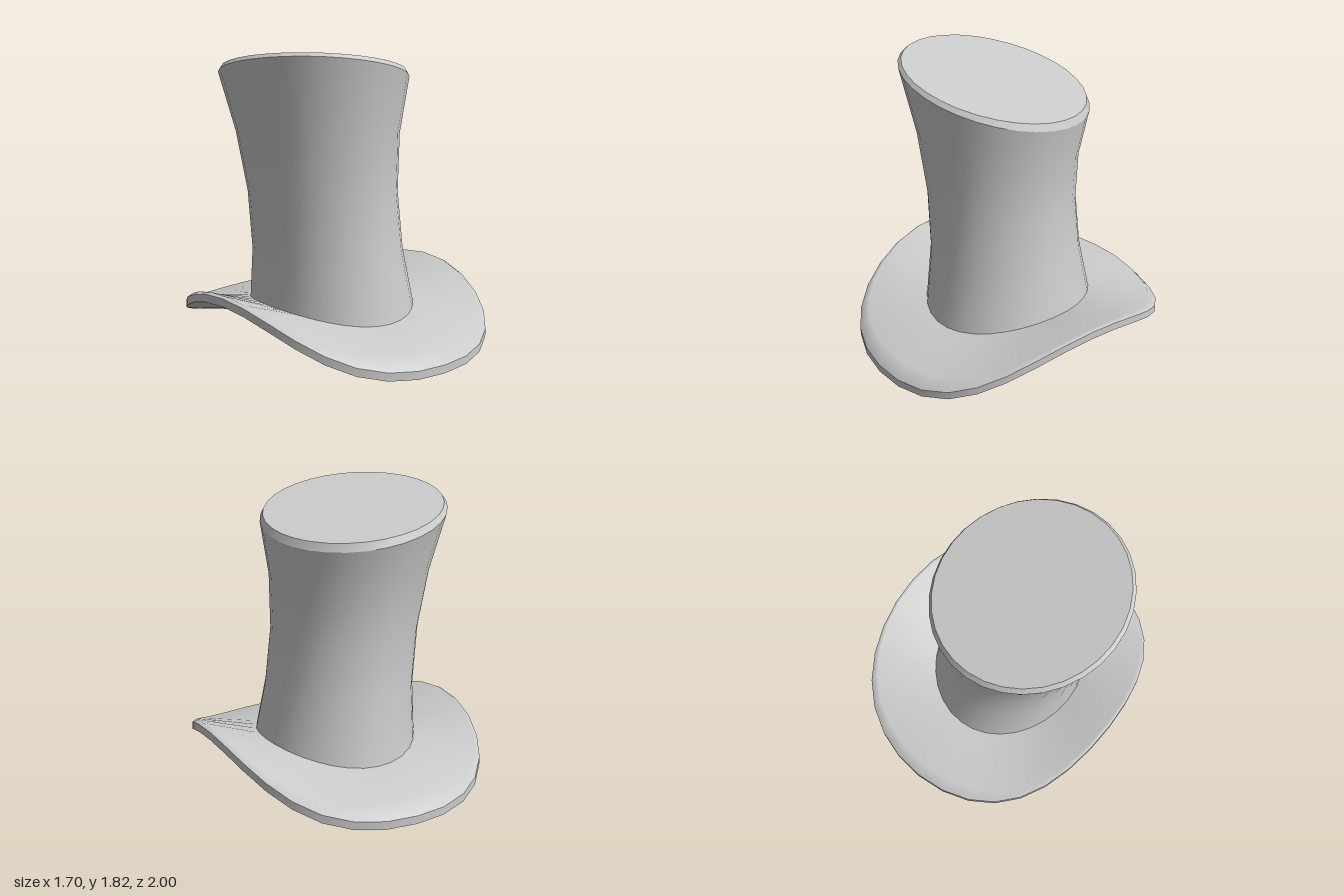
import * as THREE from 'three';

const SEGMENTS = 32;
const material = new THREE.MeshStandardMaterial({ color: 0xcccccc });

// Smooth skin through closed rings; each ring is a function of (sin, cos) of the angle
// measured from the front (+z) towards +x, returning [x, y, z].
function loft(name, rings) {
  const positions = [], index = [];
  rings.forEach((ring, i) => {
    for (let j = 0; j < SEGMENTS; j++) {
      const angle = (j / SEGMENTS) * Math.PI * 2;
      positions.push(...ring(Math.sin(angle), Math.cos(angle)));
      if (i === rings.length - 1) continue;
      const next = (j + 1) % SEGMENTS;
      const a = i * SEGMENTS + j, b = i * SEGMENTS + next;
      const c = b + SEGMENTS, d = a + SEGMENTS;
      index.push(a, b, c, a, c, d);
    }
  });
  const geometry = new THREE.BufferGeometry();
  geometry.setAttribute('position', new THREE.Float32BufferAttribute(positions, 3));
  geometry.setIndex(index);
  geometry.computeVertexNormals();
  const mesh = new THREE.Mesh(geometry, material);
  mesh.name = name;
  return mesh;
}

// Elliptical ring, tilted down towards +x and -z by the given slope
const tilted = (cx, cy, rx, rz, slope) => (s, c) =>
  [cx + rx * s, cy + slope * (rz * c - rx * s), rz * c];

const point = (x, y, z) => () => [x, y, z];

export function createModel() {
  const hat = new THREE.Group();
  hat.name = 'topHat';

  // Brim outline: a disc whose two sides curl upwards
  const curl = (s) => 0.33 * Math.pow(Math.abs(s), 2.9);
  const edgeX = (s) => (0.85 * Math.sin(s)) / Math.sin(1);
  const edgeBottom = (s, c) => [edgeX(s), curl(s), c];
  const edgeTop = (s, c) => [edgeX(s), curl(s) + 0.05, c];
  const shoulder = (s, c) =>
    [edgeX(s) * 0.975, curl(s) + 0.06 + 0.075 * c * c, c * 0.93];
  // Saddle-shaped seam where the crown meets the brim
  const seam = (s, c) => [-0.015 + 0.495 * s, 0.185 + 0.085 * s * s, 0.555 * c];

  const brim = new THREE.Group();
  brim.name = 'brim';
  brim.add(
    loft('brimUnderside', [point(0, 0.14, 0), edgeBottom]),
    loft('brimEdge', [edgeBottom, edgeTop]),
    loft('brimTop', [edgeTop, shoulder, seam]),
  );

  // Waisted crown leaning towards -x, with a slanted flat top
  const rim = tilted(-0.15, 1.655, 0.58, 0.58, 0.183);
  const lid = tilted(-0.148, 1.69, 0.56, 0.56, 0.17);
  const crown = new THREE.Group();
  crown.name = 'crown';
  crown.add(
    loft('crownSide', [
      seam,
      tilted(-0.045, 0.57, 0.465, 0.49, 0.01),
      tilted(-0.083, 0.94, 0.463, 0.475, 0.05),
      tilted(-0.12, 1.305, 0.503, 0.505, 0.115),
      rim,
    ]),
    loft('crownBevel', [rim, lid]),
    loft('crownLid', [lid, point(-0.148, 1.69, 0)]),
  );

  hat.add(brim, crown);
  return hat;
}
